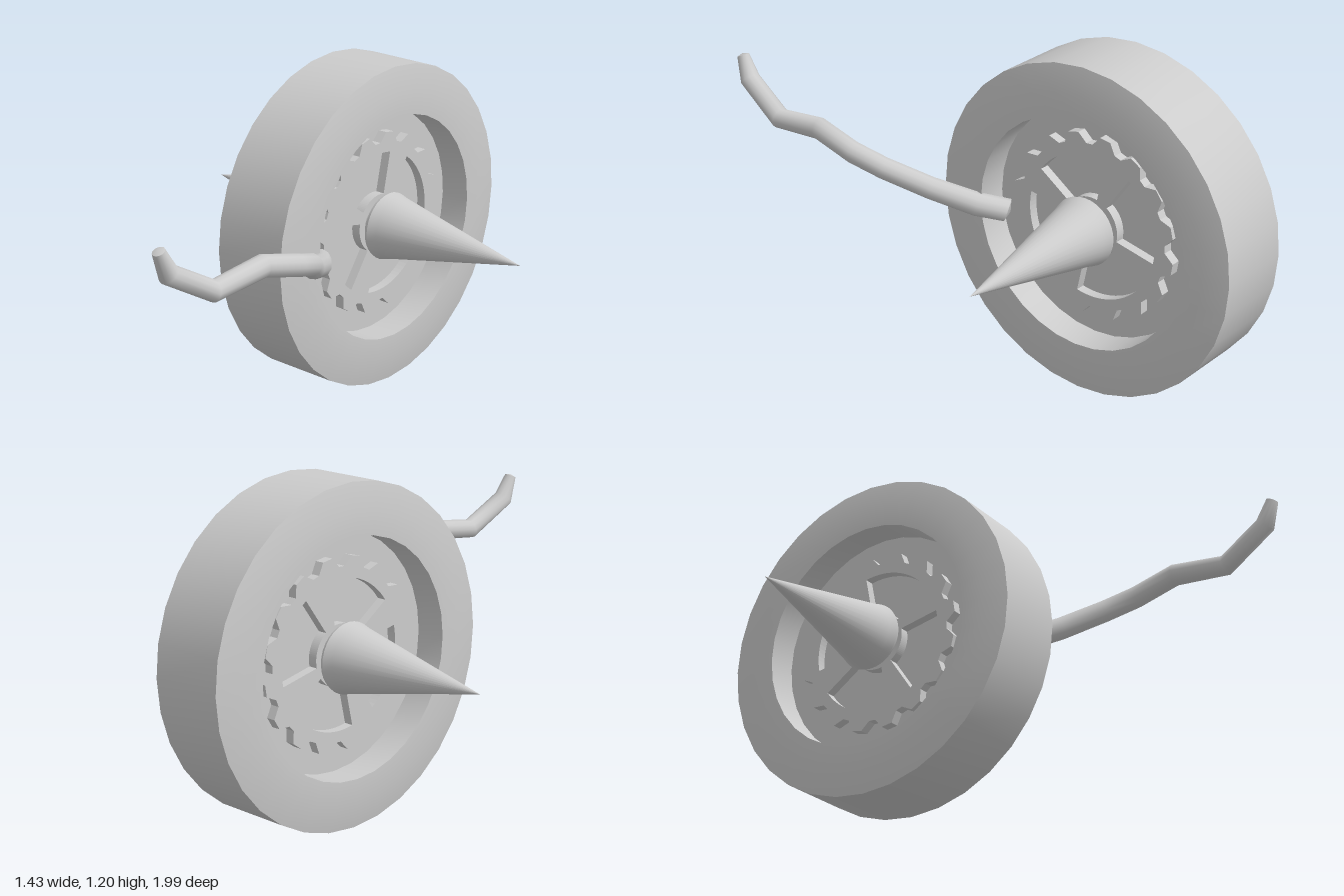
import * as THREE from 'three';
import { toCreasedNormals } from 'three/addons/utils/BufferGeometryUtils.js';

const grey = new THREE.MeshStandardMaterial({ color: 0xcccccc });

function addMesh(parent, name, geometry) {
  const mesh = new THREE.Mesh(geometry, grey);
  mesh.name = name;
  parent.add(mesh);
  return mesh;
}

// Lathe around the x axis from [radius, x] pairs
function axleLathe(profile, segments) {
  const points = profile.map(([r, x]) => new THREE.Vector2(r, x));
  const geometry = new THREE.LatheGeometry(points, segments).rotateZ(-Math.PI / 2);
  return toCreasedNormals(geometry, 0.6);
}

// Toothed plate with four sector windows, extruded along the axle
function gearGeometry(halfWidth) {
  const teeth = 16;
  const shape = new THREE.Shape();
  for (let i = 0; i < teeth; i++) {
    [[0, 0.305], [0.22, 0.305], [0.45, 0.34], [0.77, 0.34]].forEach(([f, r], k) => {
      const a = ((i + f) / teeth) * Math.PI * 2;
      shape[i + k === 0 ? 'moveTo' : 'lineTo'](r * Math.cos(a), r * Math.sin(a));
    });
  }
  shape.closePath();
  for (let i = 0; i < 4; i++) {
    const a0 = THREE.MathUtils.degToRad(-12 + i * 90);
    const a1 = THREE.MathUtils.degToRad(55 + i * 90);
    const sector = new THREE.Path();
    sector.absarc(0, 0, 0.265, a0, a1, false);
    sector.absarc(0, 0, 0.11, a1, a0, true);
    sector.closePath();
    shape.holes.push(sector);
  }
  return new THREE.ExtrudeGeometry(shape, { depth: halfWidth * 2, bevelEnabled: false, curveSegments: 10 })
    .translate(0, 0, -halfWidth)
    .rotateY(Math.PI / 2);
}

// Bent path that keeps its straight stretches
class BentPath extends THREE.Curve {
  constructor(points) {
    super();
    this.points = points;
  }
  getPointAt(t, target = new THREE.Vector3()) {
    const last = this.points.length - 1;
    const i = Math.min(Math.floor(t * last + 1e-6), last - 1);
    return target.lerpVectors(this.points[i], this.points[i + 1], t * last - i);
  }
  getTangentAt(t, target = new THREE.Vector3()) {
    const last = this.points.length - 1;
    const i = Math.round(t * last);
    const before = this.points[Math.max(i - 1, 0)];
    const here = this.points[i];
    const after = this.points[Math.min(i + 1, last)];
    target.subVectors(here, before).normalize();
    return target.add(after.clone().sub(here).normalize()).normalize();
  }
}

// Tapered tube through [x, y, z, radius] stations; radius 0 closes the ends
function taperedTube(stations, sides) {
  const points = stations.map(([x, y, z]) => new THREE.Vector3(x, y, z));
  const geometry = new THREE.TubeGeometry(new BentPath(points), points.length - 1, 1, sides, false);
  const position = geometry.attributes.position;
  const v = new THREE.Vector3();
  for (let i = 0; i < position.count; i++) {
    const ring = Math.floor(i / (sides + 1));
    v.fromBufferAttribute(position, i).sub(points[ring]).multiplyScalar(stations[ring][3]).add(points[ring]);
    position.setXYZ(i, v.x, v.y, v.z);
  }
  return toCreasedNormals(geometry, 0.9);
}

export function createModel() {
  const model = new THREE.Group();
  model.name = 'spikedWheel';

  const wheel = new THREE.Group();
  wheel.name = 'wheel';
  wheel.position.set(0, 0.6, -0.4);
  model.add(wheel);

  // Tyre with chamfered shoulders and a recessed centre
  addMesh(wheel, 'tyre', axleLathe([
    [0.42, -0.05], [0.42, -0.165], [0.505, -0.165], [0.6, -0.145],
    [0.6, 0.145], [0.505, 0.165], [0.42, 0.165], [0.42, 0.05],
  ], 32));
  addMesh(wheel, 'wheelDisc', axleLathe([[0, -0.05], [0.422, -0.05], [0.422, 0.05], [0, 0.05]], 32));
  addMesh(wheel, 'gearPlate', gearGeometry(0.085));
  addMesh(wheel, 'hub', axleLathe([[0, -0.13], [0.08, -0.13], [0.08, 0.13], [0, 0.13]], 24));

  // Axle spikes, one per side
  for (const side of [1, -1]) {
    const spike = addMesh(wheel, side > 0 ? 'leftSpike' : 'rightSpike', axleLathe([
      [0, 0.112], [0.1, 0.112], [0.12, 0.118], [0.125, 0.13], [0.115, 0.165], [0, 0.715],
    ], 32));
    if (side < 0) spike.rotation.y = Math.PI;
  }

  // Crooked arm reaching forward from the left face
  addMesh(model, 'arm', taperedTube([
    [0.1, 0.555, -0.06, 0], [0.105, 0.56, -0.05, 0.042], [0.175, 0.585, 0.03, 0.043],
    [0.265, 0.64, 0.165, 0.04], [0.365, 0.715, 0.29, 0.039], [0.4, 0.755, 0.4, 0.039],
    [0.4, 0.8, 0.56, 0.039], [0.387, 0.775, 0.77, 0.037], [0.365, 0.875, 0.94, 0.036],
    [0.36, 0.958, 0.975, 0.022], [0.36, 0.964, 0.978, 0],
  ], 12));

  return model;
}
